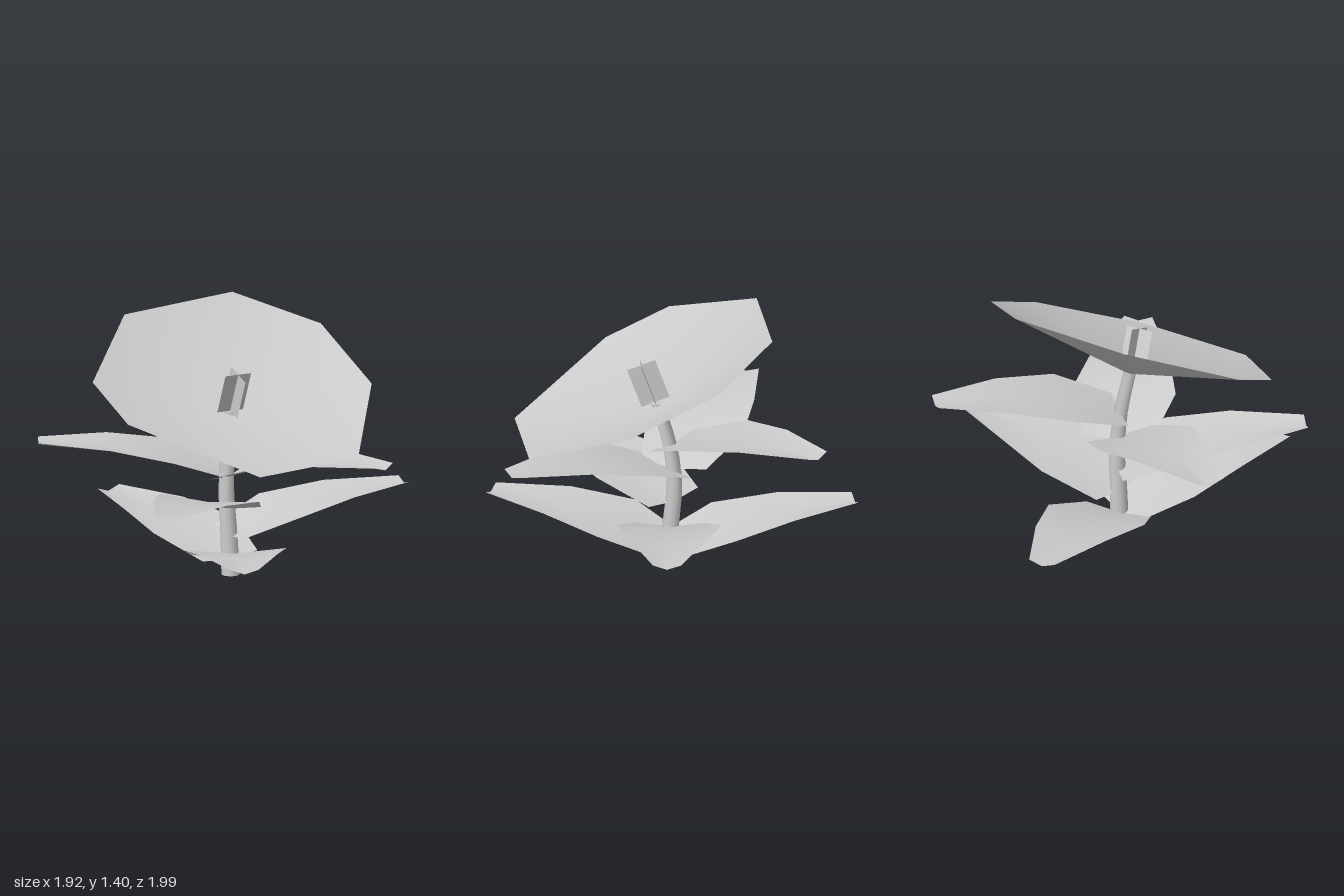
import * as THREE from 'three';

const plantGrey = new THREE.MeshStandardMaterial({ color: 0xcccccc, side: THREE.DoubleSide });
plantGrey.name = 'plantGrey';

const STEM_HEIGHT = 0.92;
// Control points evenly spaced in height
const stemCurve = new THREE.CatmullRomCurve3([
  new THREE.Vector3(-0.05, 0, 0.03),
  new THREE.Vector3(-0.05, 0.23, 0.015),
  new THREE.Vector3(-0.05, 0.46, -0.005),
  new THREE.Vector3(-0.06, 0.69, 0.02),
  new THREE.Vector3(-0.09, 0.92, 0.08),
]);

// Centre of the stem at a height
function stemAt(y) {
  return stemCurve.getPoint(THREE.MathUtils.clamp(y / STEM_HEIGHT, 0, 1));
}

function addMesh(parent, name, geometry) {
  const mesh = new THREE.Mesh(geometry, plantGrey);
  mesh.name = name;
  parent.add(mesh);
  return mesh;
}

// Tapered cylinder bent along the stem curve
function stemGeometry() {
  const geo = new THREE.CylinderGeometry(0.035, 0.05, STEM_HEIGHT, 12, 12);
  geo.translate(0, STEM_HEIGHT / 2, 0);
  const pos = geo.attributes.position;
  for (let i = 0; i < pos.count; i++) {
    const c = stemAt(pos.getY(i));
    pos.setXYZ(i, pos.getX(i) + c.x, pos.getY(i), pos.getZ(i) + c.z);
  }
  return geo;
}

// Folded leaf growing along +z: each station is [distance, rise, half width]
function leafGeometry() {
  const stations = [[0, 0, 0.19], [0.3, 0.11, 0.28], [0.64, 0.165, 0.205], [1.02, 0.18, 0.075]];
  const fold = 0.025;
  const geo = new THREE.PlaneGeometry(1, 1, 2, 3);
  const pos = geo.attributes.position;
  stations.forEach(([along, rise, half], row) => {
    for (let col = 0; col < 3; col++) {
      const side = col - 1;
      pos.setXYZ(row * 3 + col, side * half, rise + Math.abs(side) * fold, along);
    }
  });
  geo.computeVertexNormals();
  return geo;
}

// Shallow eight-sided bloom, a fan from the throat to the rim
function bloomGeometry() {
  const throat = [-0.09, 0.91, 0.06];
  const rim = [
    [-0.32, 1.37, -0.53], [-0.84, 1.15, -0.18], [-0.88, 0.99, 0.16], [-0.47, 0.75, 0.77],
    [0.15, 0.77, 0.85], [0.61, 1.02, 0.42], [0.66, 1.25, -0.06], [0.36, 1.4, -0.44],
  ];
  const index = [];
  rim.forEach((_, i) => index.push(0, i + 1, (i + 1) % rim.length + 1));
  const geo = new THREE.BufferGeometry();
  geo.setAttribute('position', new THREE.Float32BufferAttribute([throat, ...rim].flat(), 3));
  geo.setIndex(index);
  geo.computeVertexNormals();
  return geo;
}

export function createModel() {
  const plant = new THREE.Group();
  plant.name = 'flower';

  addMesh(plant, 'stem', stemGeometry());
  addMesh(plant, 'bloom', bloomGeometry());

  // Leaves: base height, then where the tip lies in x and z
  const leaves = new THREE.Group();
  leaves.name = 'leaves';
  plant.add(leaves);
  const leafGeo = leafGeometry();
  [
    [0.075, -0.035, -1.0], [0.08, -0.65, 0.855], [0.21, 0.945, 0.295], [0.355, -0.92, 0.535],
    [0.53, 0.24, 0.97], [0.545, -0.855, -0.61], [0.68, 0.76, -0.59],
  ].forEach(([y, tipX, tipZ], i) => {
    const base = stemAt(y);
    const leaf = addMesh(leaves, `leaf${i + 1}`, leafGeo);
    leaf.position.set(base.x, y, base.z);
    leaf.rotation.y = Math.atan2(tipX - base.x, tipZ - base.z);
    leaf.scale.z = Math.hypot(tipX - base.x, tipZ - base.z) / 1.02;
  });

  // Stamen: two crossed plates leaning with the top of the stem
  const stamen = new THREE.Group();
  stamen.name = 'stamen';
  const up = new THREE.Vector3(-0.04, 0.94, 0.34).normalize();
  const across = new THREE.Vector3(0.985, 0, 0.17);
  across.addScaledVector(up, -across.dot(up)).normalize();
  const facing = new THREE.Vector3().crossVectors(across, up);
  stamen.quaternion.setFromRotationMatrix(new THREE.Matrix4().makeBasis(across, up, facing));
  stamen.position.set(-0.105, 1.03, 0.125);
  plant.add(stamen);
  for (let i = 0; i < 2; i++) {
    const plate = addMesh(stamen, `stamenPlate${i + 1}`, new THREE.PlaneGeometry(0.16, 0.23));
    plate.rotation.y = i * Math.PI / 2;
  }

  return plant;
}
